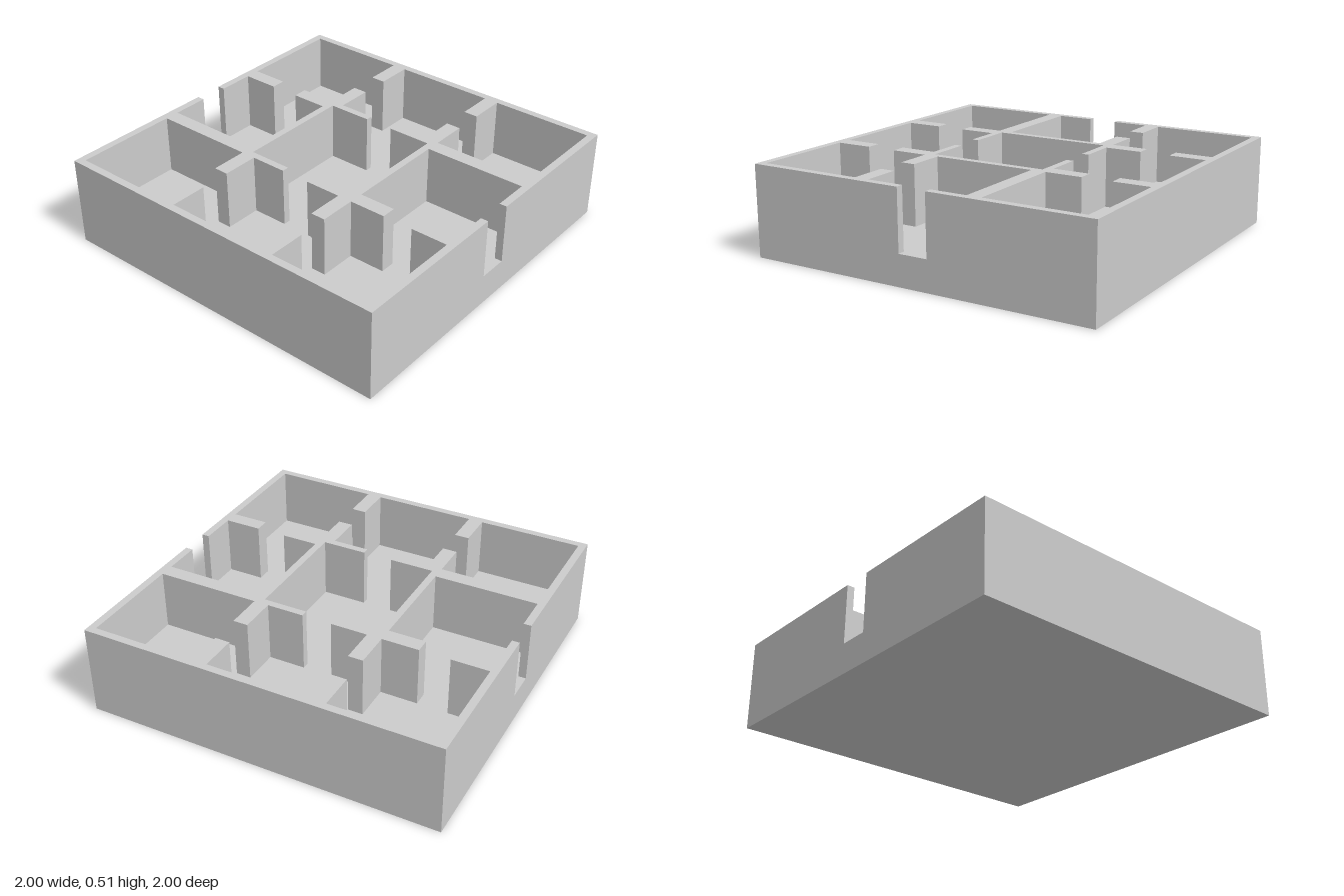
import * as THREE from 'three';

const FLOOR = 0.172, TOP = 0.508;
// wall lines: outer wall inside face, partition faces, central room inside face
const O = 0.958, A = 0.29, B = 0.373, C = 0.333;
// doorways: half width of the centred ones, near and far side of the offset ones
const D = 0.083, N = 0.58, F = 0.75;

// Plan (x, z) of one connected run of walls: the back half of the outer wall,
// the solid right partition and the right side of the central room.
const wallPlan = [
  [1, -D], [1, -1], [-1, -1], [-1, -D], [-O, -D],
  [-O, -A], [-F, -A], [-F, -B], [-O, -B], [-O, -O],      // left stub
  [-B, -O], [-B, -F], [-A, -F], [-A, -O],                // back stubs
  [A, -O], [A, -F], [B, -F], [B, -O], [O, -O],
  [O, -B], [B, -B], [B, -N], [A, -N], [A, -B],           // back right corner
  [D, -B], [D, -C], [C, -C], [C, C], [D, C], [D, B],     // central room
  [A, B], [A, N], [B, N], [B, B], [N, B], [N, A], [B, A], // front right corner
  [B, -A], [O, -A], [O, -D],
];

export function createModel() {
  const model = new THREE.Group();
  model.name = 'roomMaze';
  const material = new THREE.MeshStandardMaterial({ color: 0xcccccc, flatShading: true });

  // Solid floor slab
  const floor = new THREE.Mesh(new THREE.BoxGeometry(2, FLOOR, 2), material);
  floor.name = 'floorSlab';
  floor.position.y = FLOOR / 2;
  model.add(floor);

  // The walls repeat after half a turn
  const shape = new THREE.Shape(wallPlan.map(([x, z]) => new THREE.Vector2(x, -z)));
  const wallGeometry = new THREE.ExtrudeGeometry(shape, { depth: TOP - FLOOR, bevelEnabled: false });
  wallGeometry.rotateX(-Math.PI / 2);
  ['backWalls', 'frontWalls'].forEach((name, i) => {
    const walls = new THREE.Mesh(wallGeometry, material);
    walls.name = name;
    walls.position.y = FLOOR;
    walls.rotation.y = i * Math.PI;
    model.add(walls);
  });

  return model;
}
